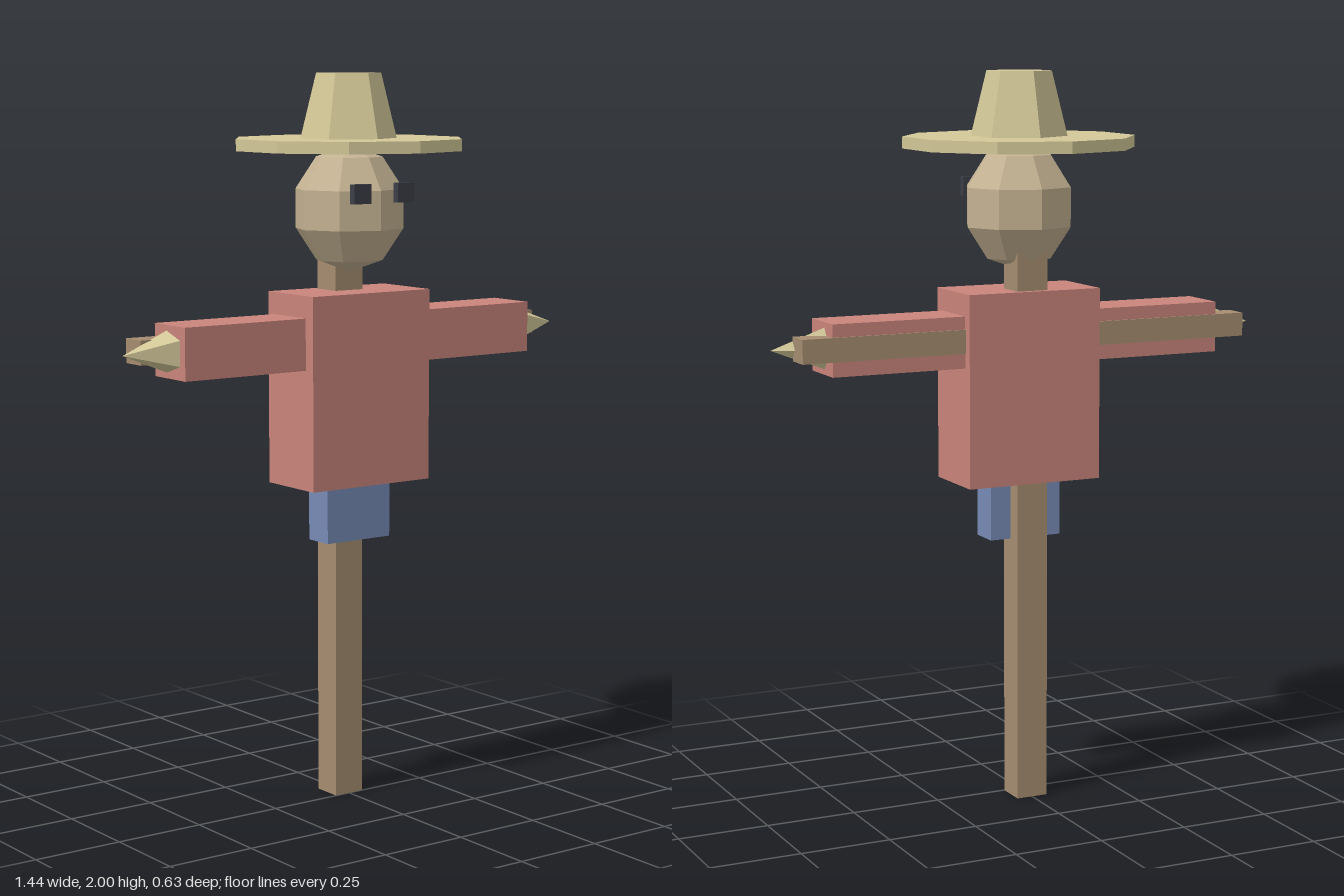
import * as THREE from 'three';

const paint = (color) => new THREE.MeshStandardMaterial({ color, flatShading: true });

export function createModel() {
  const model = new THREE.Group();
  const wood = paint(0xa58d70), shirt = paint(0xc9857b), denim = paint(0x778bb5);
  const straw = paint(0xd3c898), sack = paint(0xc4b292), dark = paint(0x3c3f48);

  const add = (name, geometry, material, x, y, z) => {
    const mesh = new THREE.Mesh(geometry, material);
    mesh.name = name;
    mesh.position.set(x, y, z);
    model.add(mesh);
    return mesh;
  };
  // Box given by its low and high corners
  const box = (name, material, [x0, y0, z0], [x1, y1, z1]) =>
    add(name, new THREE.BoxGeometry(x1 - x0, y1 - y0, z1 - z0), material,
      (x0 + x1) / 2, (y0 + y1) / 2, (z0 + z1) / 2);

  // Wooden frame
  box('pole', wood, [-0.045, 0, -0.085], [0.045, 1.54, 0]);
  box('crossbar', wood, [-0.66, 1.255, -0.08], [0.66, 1.32, -0.008]);

  // Clothes
  box('shirtBody', shirt, [-0.195, 0.89, -0.103], [0.195, 1.415, 0.105]);
  box('trousers', denim, [-0.105, 0.73, -0.042], [0.105, 0.9, 0.045]);

  // Head: faceted sack, slightly taller than wide
  add('head', new THREE.SphereGeometry(1, 8, 5), sack, 0, 1.637, 0.001).scale.set(0.159, 0.172, 0.15);

  // Mirrored arms and eyes
  for (const [side, s] of [['left', 1], ['right', -1]]) {
    const sleeve = new THREE.BoxGeometry(0.39, 0.14, 0.146);
    add(side + 'Sleeve', sleeve, shirt, s * 0.38, 1.285, -0.002);

    // Straw hand: five-sided cone pointing outward, flat side to the front
    const hand = new THREE.ConeGeometry(0.06, 0.15, 5);
    hand.rotateY(Math.PI).rotateZ(-s * Math.PI / 2);
    add(side + 'Hand', hand, straw, s * 0.645, 1.285, 0);

    add(side + 'Eye', new THREE.BoxGeometry(0.055, 0.052, 0.02), dark, s * 0.072, 1.684, 0.15);
  }

  // Hat
  add('hatBrim', new THREE.CylinderGeometry(0.316, 0.316, 0.032, 10), straw, 0, 1.81, -0.002);
  add('hatCrown', new THREE.CylinderGeometry(0.088, 0.132, 0.18, 6), straw, 0, 1.91, -0.002);

  return model;
}
